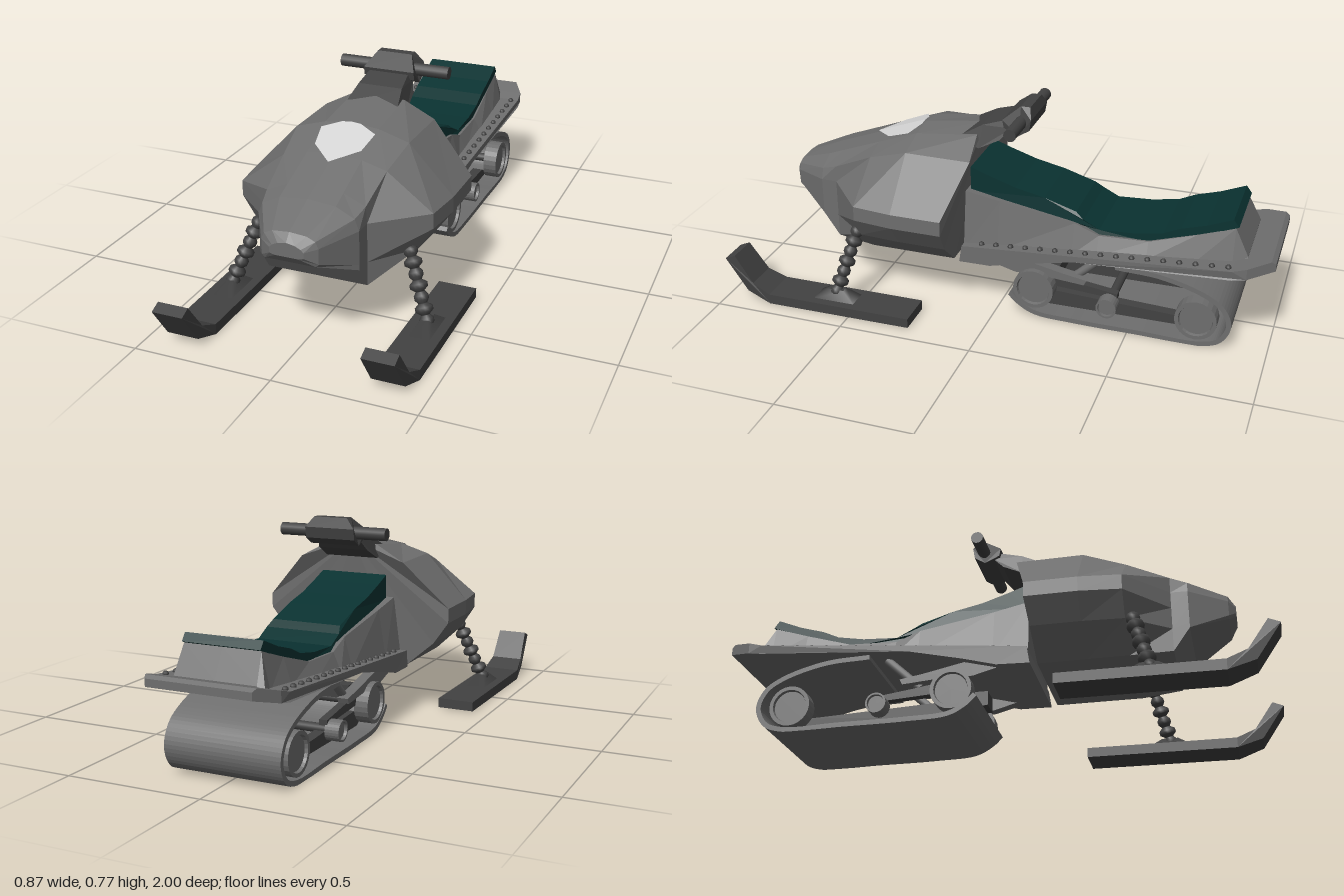
import * as THREE from 'three';

const mat = (name, color) => {
  const m = new THREE.MeshStandardMaterial({ color, side: THREE.DoubleSide });
  m.name = name;
  return m;
};

export function createModel() {
  const model = new THREE.Group();
  model.name = 'snowmobile';
  const grey = mat('bodyGrey', 0x6e6e6e);
  const dark = mat('darkMetal', 0x424242);
  const green = mat('seatGreen', 0x0a3231);
  const silver = mat('lampSilver', 0xd4d4d4);

  const add = (name, geo, material, parent = model) => {
    const mesh = new THREE.Mesh(geo, material);
    mesh.name = name;
    parent.add(mesh);
    return mesh;
  };

  // Mirrored cross-section: half runs from top centre down the +x side to bottom centre
  const ring = (half, z) => {
    const right = half.map(([x, y, dz = 0]) => [x, y, z + dz]);
    const left = right.slice(1, -1).reverse().map(([x, y, pz]) => [-x, y, pz]);
    return [...right, ...left];
  };

  // Faceted skin over rings ordered from back to front, capped at both ends
  const loft = (rings) => {
    const n = rings[0].length, pos = [];
    const tri = (a, b, c) => pos.push(...a, ...b, ...c);
    for (let i = 0; i < rings.length - 1; i++) {
      for (let j = 0; j < n; j++) {
        const k = (j + 1) % n, A = rings[i], B = rings[i + 1];
        tri(A[j], B[j], B[k]);
        tri(A[j], B[k], A[k]);
      }
    }
    const first = rings[0], last = rings[rings.length - 1];
    for (let j = 1; j < n - 1; j++) {
      tri(first[0], first[j], first[j + 1]);
      tri(last[0], last[j + 1], last[j]);
    }
    const g = new THREE.BufferGeometry();
    g.setAttribute('position', new THREE.Float32BufferAttribute(pos, 3));
    g.computeVertexNormals();
    return g;
  };

  // Side profile of [z, y] points, extruded across x; halfWidth(z, y) shapes the sides
  const sideExtrude = (pts, halfWidth) => {
    const shape = new THREE.Shape(pts.map(([z, y]) => new THREE.Vector2(-z, y)));
    const g = new THREE.ExtrudeGeometry(shape, { depth: 2, bevelEnabled: false });
    g.translate(0, 0, -1).rotateY(Math.PI / 2);
    const p = g.attributes.position;
    for (let i = 0; i < p.count; i++) p.setX(i, p.getX(i) * halfWidth(p.getZ(i), p.getY(i)));
    g.computeVertexNormals();
    return g;
  };

  // Turns a y-axis geometry so that it runs along a to b, centred between them
  const along = (g, a, b) => {
    const A = new THREE.Vector3(...a), B = new THREE.Vector3(...b);
    const dir = B.clone().sub(A).normalize();
    g.applyQuaternion(new THREE.Quaternion().setFromUnitVectors(new THREE.Vector3(0, 1, 0), dir));
    const c = A.add(B).multiplyScalar(0.5);
    return g.translate(c.x, c.y, c.z);
  };
  const rod = (a, b, r, sides = 12) =>
    along(new THREE.CylinderGeometry(r, r, new THREE.Vector3(...a).distanceTo(new THREE.Vector3(...b)), sides), a, b);
  const ramp = THREE.MathUtils.mapLinear;
  const clampRamp = (v, a, b, c, d) => ramp(Math.min(Math.max(v, Math.min(a, b)), Math.max(a, b)), a, b, c, d);

  // Faceted cowl
  add('cowl', loft([
    ring([[0, .665], [.1, .65], [.21, .59, -.01], [.372, .42, .045], [.372, .365, .045], [.31, .28, .055], [.2, .185, .06], [0, .185, .06]], .105),
    ring([[0, .635], [.1, .625], [.21, .592], [.372, .42], [.372, .365], [.31, .28], [.2, .185], [0, .185]], .34),
    ring([[0, .58], [.1, .57], [.19, .545], [.355, .42], [.355, .365], [.3, .28], [.2, .185], [0, .185]], .49),
    ring([[0, .525], [.1, .515], [.178, .48], [.182, .42], [.182, .36], [.182, .28], [.182, .195], [0, .195]], .64),
    ring([[0, .503], [.1, .493], [.165, .46], [.18, .42], [.18, .36], [.18, .3], [.18, .28], [0, .28]], .7),
    ring([[0, .447], [.06, .442], [.09, .428], [.1, .405], [.1, .375], [.1, .35], [.09, .34], [0, .34]], .835),
    ring([[0, .42], [.03, .415], [.05, .405], [.06, .395], [.06, .385], [.06, .375], [.04, .37], [0, .37]], .86),
  ]), grey);

  // Headlamp: thin folded plate lying on the hood
  const lampAt = ([x, z]) => [x, .642 - .1 * Math.abs(x) - .3667 * (z - .34), z];
  const lampHalf = [[0, .345], [.035, .345], [.1, .375], [.085, .46], [0, .54]].map(lampAt);
  const lampPos = [];
  for (let i = 1; i < 4; i++) {
    const [a, b, c] = [lampHalf[0], lampHalf[i + 1], lampHalf[i]];
    const m = ([x, y, z]) => [-x, y, z];
    lampPos.push(...a, ...b, ...c, ...m(a), ...m(c), ...m(b));
  }
  const lamp = new THREE.BufferGeometry();
  lamp.setAttribute('position', new THREE.Float32BufferAttribute(lampPos, 3));
  lamp.computeVertexNormals();
  add('headlamp', lamp, silver);

  // Running boards with chamfered tail
  const boardHalf = (z) => z < -.9 ? clampRamp(z, -.9, -1, .245, .19) : clampRamp(z, .12, -.9, .215, .245);
  add('runningBoards', sideExtrude([[.13, .25], [-.86, .337], [-.91, .352], [-.985, .372], [-1, .362], [-1, .335],
    [-.91, .312], [-.86, .303], [-.3, .265], [-.1, .22], [.02, .188], [.14, .185]], boardHalf), grey);

  // Seat base rising from the boards
  const baseTop = [[-.9, .352, .15], [-.85, .45, .14], [-.72, .405, .145], [-.55, .352, .15], [-.37, .345, .15],
    [-.28, .38, .15], [0, .425, .155], [.13, .45, .16]];
  add('seatBase', loft(baseTop.map(([z, top, w]) =>
    ring([[0, top], [w, top], [w + .03, .24 - .1 * z], [0, .24 - .1 * z]], z))), grey);

  // Seat cushion following the base
  add('seat', sideExtrude([[.12, .535], [.05, .51], [-.05, .478], [-.16, .455], [-.28, .418], [-.31, .395], [-.37, .365],
    [-.5, .372], [-.6, .39], [-.66, .418], [-.75, .445], [-.84, .482], [-.86, .455], [-.72, .4],
    [-.55, .345], [-.37, .338], [-.28, .37], [0, .415], [.12, .44]], (z) => z > -.3 ? .132 : .142), green);

  // Rivets and riveted edge strips
  for (const s of [-1, 1]) {
    for (let i = 0; i < 17; i++) {
      const z = .06 - i * .0565;
      add('rivet', new THREE.SphereGeometry(.011, 8, 6).translate(s * (boardHalf(z) - .026), .263 - .088 * z, z), dark);
    }
  }

  // Steering stem, bar and pad
  add('steeringStem', sideExtrude([[.18, .635], [.09, .685], [.01, .71], [-.02, .685], [.02, .64], [.1, .6]],
    (z, y) => clampRamp(y, .62, .71, .105, .075)), dark);
  add('handlebar', rod([-.21, .713, -.055], [.21, .713, -.055], .023, 14), dark);
  add('handlebarPad', sideExtrude([[.005, .69], [.01, .72], [-.05, .768], [-.085, .768], [-.097, .73], [-.09, .69], [-.05, .665]],
    (z, y) => clampRamp(y, .735, .768, .097, .066)), dark);

  // Skis with ribbed struts
  for (const s of [-1, 1]) {
    const side = new THREE.Group();
    side.name = s > 0 ? 'leftSki' : 'rightSki';
    model.add(side);
    const ski = sideExtrude([[.26, .004], [.82, 0], [.915, .032], [1, .155], [.96, .172], [.89, .07], [.82, .038], [.26, .04]],
      (z) => clampRamp(z, .82, .93, .07, .056));
    add('ski', ski.translate(s * .367, 0, 0), dark, side);
    const mount = new THREE.CylinderGeometry(.025, .07, .04, 4).rotateY(Math.PI / 4).scale(.8, 1, 1.7);
    add('skiMount', mount.translate(s * .367, .055, .57), dark, side);
    const profile = [[0, -.14]];
    for (let i = 0; i < 7; i++) {
      const y = -.14 + i * .04;
      profile.push([.016, y], [i % 2 ? .031 : .025, y + .012], [i % 2 ? .031 : .025, y + .026], [.016, y + .038]);
    }
    profile.push([0, .14]);
    const strut = new THREE.LatheGeometry(profile.map(([x, y]) => new THREE.Vector2(x, y)), 12);
    add('strut', along(strut, [s * .372, .05, .575], [s * .278, .3, .51]), dark, side);
  }

  // Track belt: a thick strip swept along a side path
  const path = new THREE.CatmullRomCurve3([[-.05, .078], [-.085, .045], [-.15, .012], [-.3, .003], [-.55, .002], [-.77, .002],
    [-.84, .03], [-.872, .1], [-.845, .17], [-.78, .215], [-.62, .262], [-.45, .272]].map(([z, y]) => new THREE.Vector3(0, y, z)));
  const outer = [], inner = [];
  for (let i = 0; i <= 60; i++) {
    const p = path.getPoint(i / 60), t = path.getTangent(i / 60);
    outer.push([p.z, Math.max(p.y, 0)]);
    inner.push([p.z + t.y * .018, p.y - t.z * .018]);
  }
  add('trackBelt', sideExtrude([...outer, ...inner.reverse()], () => .214), grey);

  // Wheels with recessed hubs, rails and suspension arms
  const wheel = (r, w) => new THREE.LatheGeometry([[0, -w], [r, -w], [r, w], [r * .82, w], [r * .78, w * .6], [0, w * .6]]
    .map(([x, y]) => new THREE.Vector2(x, y)), 24).toNonIndexed();
  for (const s of [-1, 1]) {
    for (const [z, y, r] of [[-.145, .115, .076], [-.745, .1, .076], [-.42, .085, .038]]) {
      const g = wheel(r, .027);
      g.computeVertexNormals();
      add('wheel', g.rotateZ(-s * Math.PI / 2).translate(s * .185, y, z), grey);
    }
    add('slideRail', sideExtrude([[-.12, .06], [-.2, .09], [-.68, .07], [-.74, .035], [-.18, .03]], () => .02).translate(s * .13, 0, 0), dark);
    add('upperRail', sideExtrude([[-.17, .165], [-.3, .145], [-.45, .125], [-.45, .105], [-.2, .12]], () => .015).translate(s * .15, 0, 0), dark);
    add('frontArm', sideExtrude([[.06, .2], [-.08, .225], [-.25, .19], [-.34, .175], [-.33, .155], [-.2, .165], [-.07, .165]], () => .02)
      .translate(s * .17, 0, 0), grey);
    add('rearArm', rod([s * .15, .27, -.4], [s * .15, .15, -.27], .016), grey);
  }
  for (const [z, y] of [[-.145, .115], [-.745, .1], [-.42, .085]]) add('axle', rod([-.18, y, z], [.18, y, z], .017), dark);
  add('gearbox', new THREE.BoxGeometry(.08, .055, .1).translate(0, .138, -.1), dark);
  add('crossBeam', new THREE.BoxGeometry(.28, .05, .05).translate(0, .165, -.2), dark);

  return model;
}
